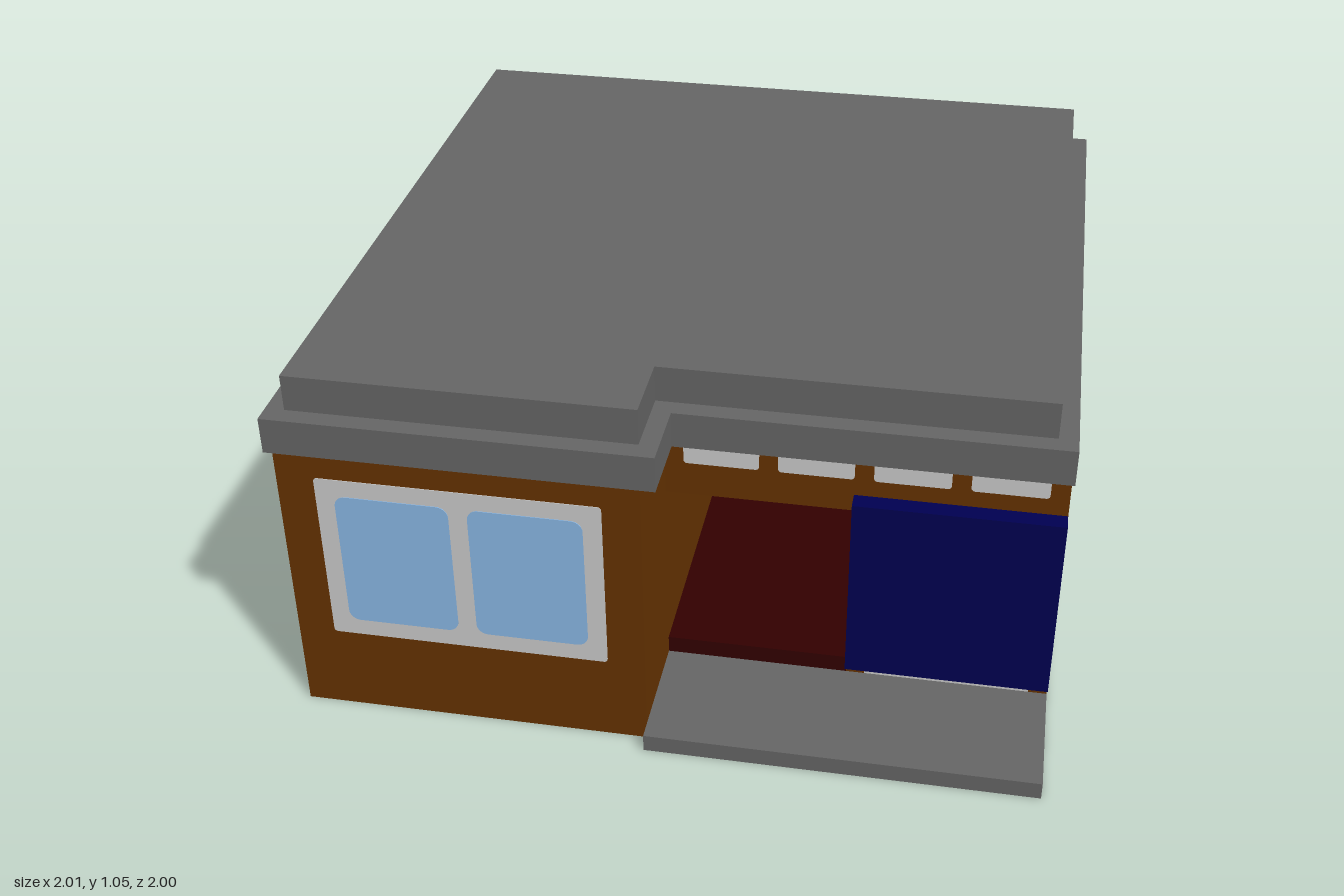
import * as THREE from 'three';

const mat = (name, color) => {
  const m = new THREE.MeshStandardMaterial({ color });
  m.name = name;
  return m;
};

export function createModel() {
  const brown = mat('wall brown', 0x663300);
  const grey = mat('roof grey', 0x666666);
  const white = mat('frame light grey', 0xcccccc);
  const glass = mat('glass blue', 0x99ccff);
  const navy = mat('door navy', 0x000052);
  const red = mat('floor dark red', 0x330000);

  const model = new THREE.Group();
  model.name = 'house';

  const add = (name, geo, material, parent = model) => {
    const mesh = new THREE.Mesh(geo, material);
    mesh.name = name;
    parent.add(mesh);
    return mesh;
  };
  // Box given by its min and max on each axis
  const box = (name, material, x0, x1, y0, y1, z0, z1) => add(name,
    new THREE.BoxGeometry(x1 - x0, y1 - y0, z1 - z0)
      .translate((x0 + x1) / 2, (y0 + y1) / 2, (z0 + z1) / 2), material);
  const extrude = (points, depth) => new THREE.ExtrudeGeometry(
    new THREE.Shape(points.map(([x, y]) => new THREE.Vector2(x, y))), { depth, bevelEnabled: false });

  // Thin plate with rounded corners, facing +z
  const plate = (x0, x1, y0, y1, r, depth) => {
    const s = new THREE.Shape();
    s.absarc(x1 - r, y1 - r, r, 0, Math.PI / 2);
    s.absarc(x0 + r, y1 - r, r, Math.PI / 2, Math.PI);
    s.absarc(x0 + r, y0 + r, r, Math.PI, Math.PI * 1.5);
    s.absarc(x1 - r, y0 + r, r, Math.PI * 1.5, Math.PI * 2);
    return new THREE.ExtrudeGeometry(s, { depth, bevelEnabled: false, curveSegments: 4 });
  };
  const windowUnit = (name, [x0, x1, y0, y1], panes) => {
    const g = new THREE.Group();
    g.name = name;
    add('windowFrame', plate(x0, x1, y0, y1, 0.01, 0.002), white, g);
    for (const [a, b, c, d] of panes) add('windowPane', plate(a, b, c, d, 0.03, 0.004), glass, g);
    model.add(g);
    return g;
  };

  // Walls: closed wing on one side, hollow room on the other
  box('wing', brown, -1, -0.05, 0, 0.85, -1, 0.95);
  box('sideWall', brown, 0.95, 1, 0, 0.85, -1, 0.65);
  box('backWall', brown, -0.05, 0.95, 0, 0.85, -1, -0.95);
  add('frontWall', extrude([[0.45, 0], [0.5, 0], [0.5, 0.6], [0.95, 0.6], [0.95, 0.85],
    [-0.05, 0.85], [-0.05, 0.6], [0.45, 0.6]], 0.05).translate(0, 0, 0.6), brown);

  // Room floor, entrance step and sliding door with the panel behind it
  box('floor', red, -0.05, 0.95, 0, 0.1, -0.95, 0.6);
  box('threshold', red, -0.05, 0.45, 0, 0.1, 0.6, 0.65);
  box('step', grey, -0.05, 1, 0, 0.05, 0.65, 1);
  box('doorPanel', white, 0.5, 0.95, 0, 0.6, 0.6, 0.65);
  box('slidingDoor', navy, 0.45, 1, 0.1, 0.65, 0.65, 0.7);

  // Two stepped roof slabs with a notched front
  const roof = (name, x, zLong, zShort, xStep, y) => add(name,
    extrude([[-x, 1], [-x, -zLong], [xStep, -zLong], [xStep, -zShort], [x, -zShort], [x, 1]], 0.1)
      .rotateX(-Math.PI / 2).translate(0, y, 0), grey);
  roof('lowerRoof', 1, 1, 0.8, 0, 0.85);
  roof('upperRoof', 0.95, 0.95, 0.75, -0.05, 0.95);

  // Row of small windows above the entrance
  for (let i = 0; i < 4; i++) {
    const x = i * 0.25;
    add('transomWindow', plate(x, x + 0.2, 0.7, 0.8, 0.01, 0.003), white).position.z = 0.65;
  }

  // Front window
  windowUnit('frontWindow', [-0.9, -0.15, 0.25, 0.75],
    [[-0.85, -0.55, 0.3, 0.7], [-0.5, -0.2, 0.3, 0.7]]).position.z = 0.95;

  // Large window on the +x wall
  const large = windowUnit('largeSideWindow', [-0.3, 0.7, 0.2, 0.75],
    [[-0.25, 0.15, 0.25, 0.7], [0.25, 0.65, 0.25, 0.7]]);
  large.rotation.y = Math.PI / 2;
  large.position.x = 1;

  // Two small windows on the -x wall
  for (const z of [-0.75, 0.2]) {
    const w = windowUnit('smallSideWindow', [z, z + 0.5, 0.3, 0.7], [[z + 0.05, z + 0.45, 0.35, 0.65]]);
    w.rotation.y = -Math.PI / 2;
    w.position.x = -1;
  }
  return model;
}
